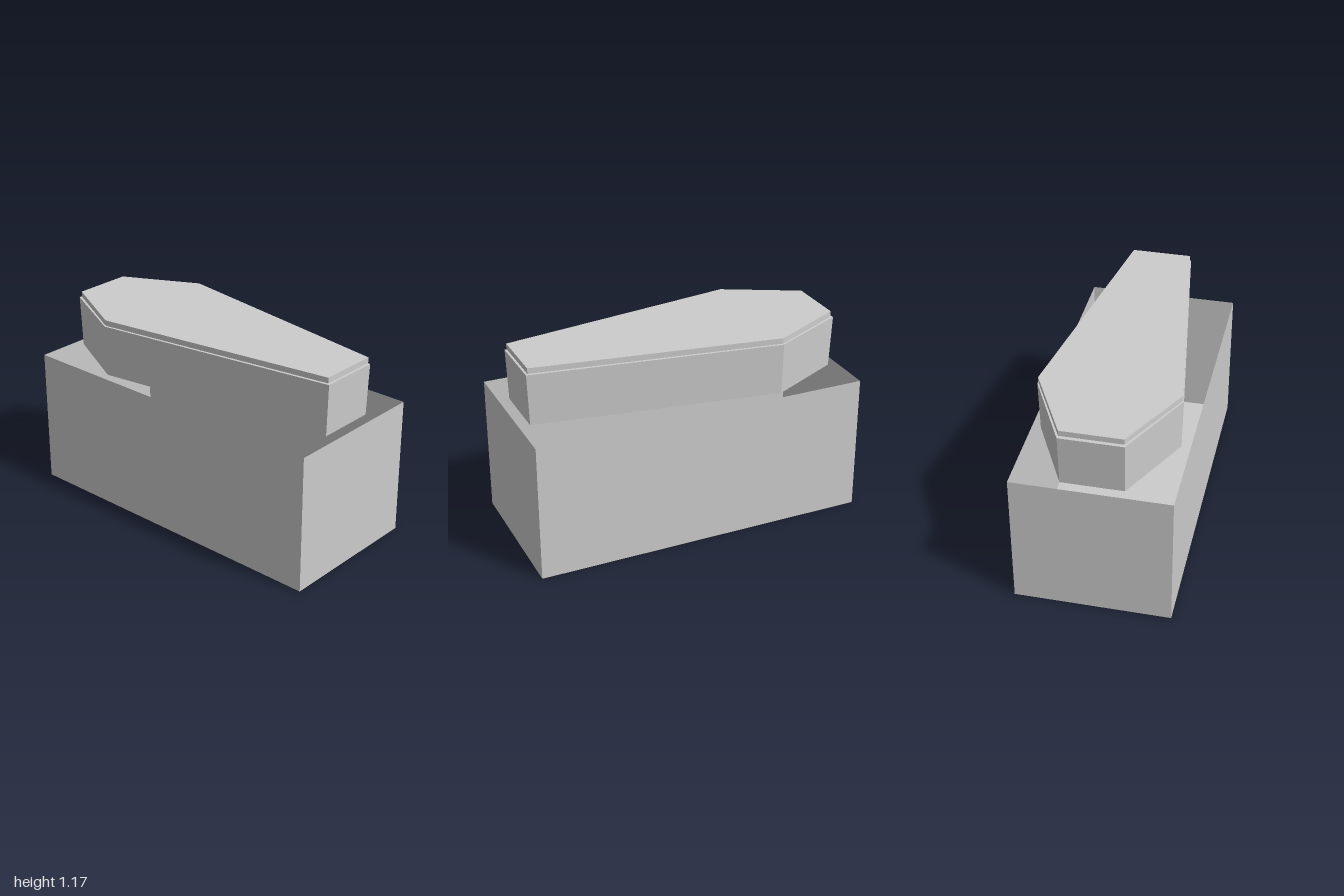
import * as THREE from 'three';

// Right-hand half of a six-sided outline: foot, shoulder, head, mirrored to the other side
function outline(foot, shoulder, head) {
  const half = [foot, shoulder, head];
  const mirrored = half.map(([x, z]) => [-x, z]).reverse();
  return [...half, ...mirrored]; // anticlockwise seen from above
}

// Flat-faced closed solid lofted between two outlines
function loft(lower, upper, y0, y1) {
  const p = [];
  const low = lower.map(([x, z]) => [x, y0, z]);
  const high = upper.map(([x, z]) => [x, y1, z]);
  const tri = (a, b, c) => p.push(...a, ...b, ...c);
  const n = low.length;
  for (let i = 0; i < n; i++) {
    const j = (i + 1) % n;
    tri(low[i], low[j], high[j]);
    tri(low[i], high[j], high[i]);
  }
  for (let i = 1; i < n - 1; i++) {
    tri(high[0], high[i], high[i + 1]);
    tri(low[0], low[i + 1], low[i]);
  }
  const g = new THREE.BufferGeometry();
  g.setAttribute('position', new THREE.Float32BufferAttribute(p, 3));
  g.computeVertexNormals();
  return g;
}

export function createModel() {
  const group = new THREE.Group();
  const stone = new THREE.MeshStandardMaterial({ color: 0xcccccc, side: THREE.DoubleSide });
  stone.name = 'pale grey';

  const add = (name, geometry) => {
    const mesh = new THREE.Mesh(geometry, stone);
    mesh.name = name;
    group.add(mesh);
    return mesh;
  };

  // Thin-walled plinth, open at the top
  const box = new THREE.BoxGeometry(0.9, 0.822, 2);
  box.setIndex([...box.index.array].filter((_, i) => i < 12 || i >= 18));
  box.clearGroups();
  add('plinth', box).position.y = 0.411;

  // Coffin body, flaring slightly towards the rim
  const base = outline([0.178, 0.935], [0.398, -0.505], [0.178, -0.942]);
  const rim = outline([0.182, 0.945], [0.405, -0.508], [0.18, -0.957]);
  add('coffinBody', loft(base, rim, 0.822, 1.128));

  // Straight-sided lid just above the rim
  const lid = outline([0.177, 0.935], [0.4, -0.505], [0.175, -0.942]);
  add('coffinLid', loft(lid, lid, 1.133, 1.166));

  return group;
}
